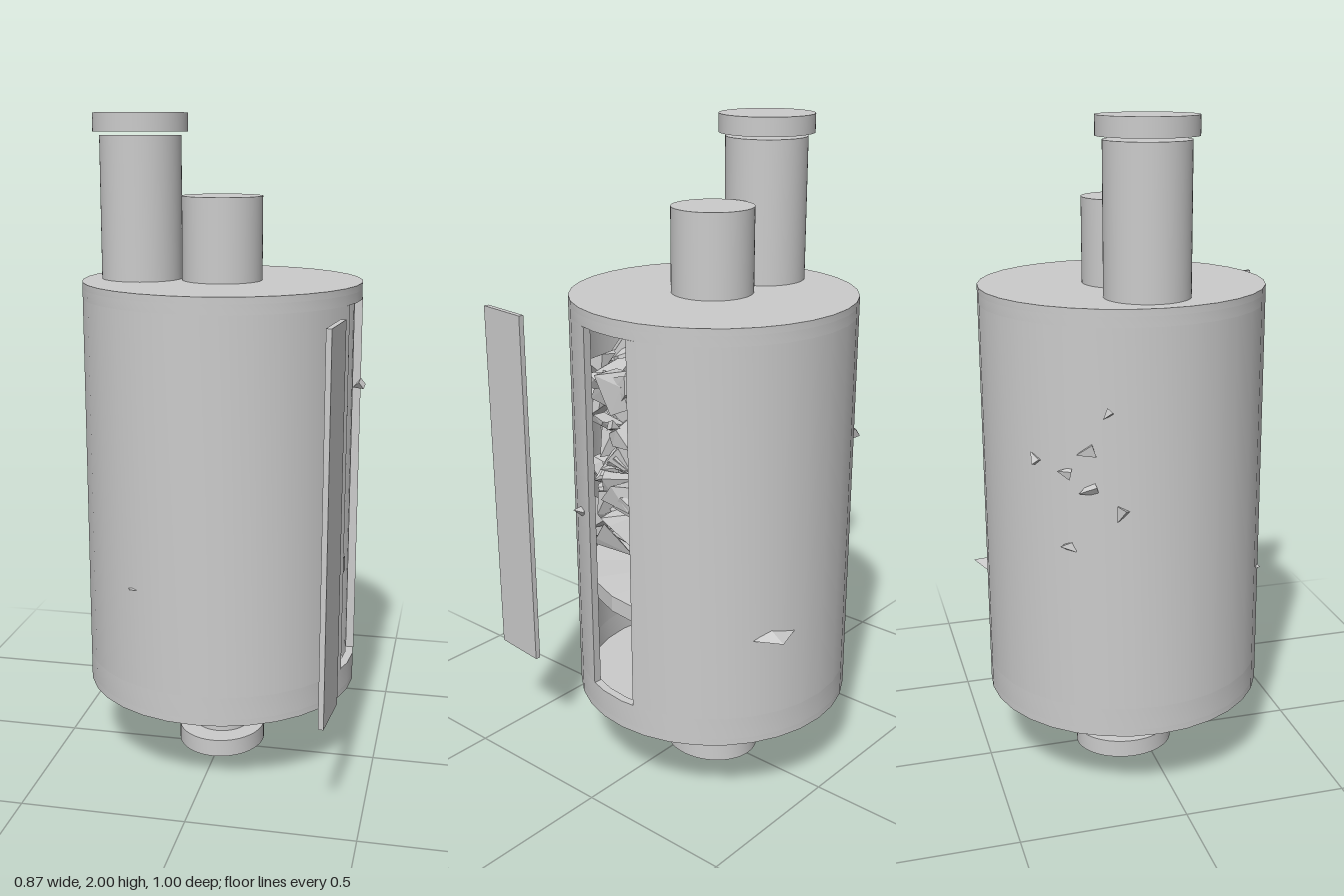
import * as THREE from 'three';
import { mergeGeometries, toCreasedNormals } from 'three/addons/utils/BufferGeometryUtils.js';
import { ConvexGeometry } from 'three/addons/geometries/ConvexGeometry.js';

const R = 0.425, INNER = 0.4, SIDES = 32;
const SLOT = { z0: -0.045, z1: 0.135, y0: 0.33, y1: 1.46 };

export function createModel() {
  const model = new THREE.Group();
  // everything but the loose panel shares the vessel's axis
  const vessel = new THREE.Group();
  vessel.name = 'vessel';
  vessel.position.set(-0.005, 0, -0.06);
  model.add(vessel);

  const smooth = new THREE.MeshStandardMaterial({ color: 0xcccccc });
  const flat = new THREE.MeshStandardMaterial({ color: 0xcccccc, flatShading: true });

  let seed = 7;
  const rand = () => {
    seed = (seed * 16807) % 2147483647;
    return seed / 2147483647;
  };

  const add = (name, geometry, parent = vessel, material = smooth) => {
    const mesh = new THREE.Mesh(geometry, material);
    mesh.name = name;
    parent.add(mesh);
    return mesh;
  };

  const drum = (name, r, y0, y1, x = 0, z = 0, sides = 64) => {
    const mesh = add(name, new THREE.CylinderGeometry(r, r, y1 - y0, sides));
    mesh.position.set(x, (y0 + y1) / 2, z);
    return mesh;
  };

  // extrudes a plan outline (x, -z) upwards from y0 to y1
  const raise = (shape, y0, y1) => {
    const g = new THREE.ExtrudeGeometry(shape, { depth: y1 - y0, bevelEnabled: false });
    g.rotateX(-Math.PI / 2).translate(0, y0, 0);
    return toCreasedNormals(g, 0.5);
  };

  const circle = (r) => Array.from({ length: SIDES }, (_, i) => {
    const a = (i / SIDES) * Math.PI * 2;
    return new THREE.Vector2(r * Math.cos(a), r * Math.sin(a));
  });

  // arc of the wall that leaves the slot open on the +x side
  const openArc = (r) => {
    const edge = (z) => new THREE.Vector2(Math.sqrt(r * r - z * z), -z);
    const between = circle(r).filter((p) => p.x < 0 || p.y > -SLOT.z0 + 0.005 || p.y < -SLOT.z1 - 0.005);
    return [edge(SLOT.z0), ...between, edge(SLOT.z1)];
  };

  // wall: closed ring below and above, open ring around the slot
  const ring = new THREE.Shape(circle(R));
  ring.holes.push(new THREE.Path(circle(INNER)));
  const slotted = new THREE.Shape([...openArc(R), ...openArc(INNER).reverse()]);
  add('lowerWall', raise(ring, 0.26, SLOT.y0));
  add('slottedWall', raise(slotted, SLOT.y0, SLOT.y1));
  add('upperWall', raise(ring, SLOT.y1, 1.49));
  const disc = new THREE.Shape(circle(R));
  add('floor', raise(disc, 0.24, 0.26));
  add('lid', raise(disc, 1.49, 1.51));

  // pipes on the lid
  drum('shortPipe', 0.122, 1.51, 1.76, 0, 0.005);
  drum('tallPipe', 0.123, 1.51, 1.935, -0.25, 0.007);
  drum('tallPipeCap', 0.143, 1.945, 2, -0.25, 0.007);

  // oval bottom plate and hollow outlet
  drum('bottomPlate', 0.355, 0.22, 0.24).scale.z = 0.875;
  const lathe = (points) => toCreasedNormals(
    new THREE.LatheGeometry(points.map(([r, y]) => new THREE.Vector2(r, y)), 48), 0.5);
  add('outletPipe', lathe([[0.07, 0.05], [0.085, 0.05], [0.085, 0.22], [0.07, 0.22], [0.07, 0.05]]));
  add('outletFlange', lathe([[0.07, 0], [0.138, 0], [0.138, 0.055], [0.07, 0.055], [0.07, 0]]))
    .scale.z = 1.12;

  // bed of broken stones, kept inside the wall
  const stones = [];
  for (let i = 0; i < 420; i++) {
    const a = rand() * Math.PI * 2, d = 0.36 * Math.sqrt(rand());
    const c = new THREE.Vector3(d * Math.cos(a), 0.77 + rand() * 0.56, d * Math.sin(a));
    const size = 0.06 + rand() * 0.04;
    const points = Array.from({ length: 8 }, () => {
      const p = new THREE.Vector3(rand() - 0.5, rand() - 0.5, rand() - 0.5)
        .setLength(size * (0.8 + 0.3 * rand())).add(c);
      const r = Math.hypot(p.x, p.z), limit = 0.38 + 0.01 * rand();
      if (r > limit) { p.x *= limit / r; p.z *= limit / r; }
      p.y = THREE.MathUtils.clamp(p.y, 0.745 + 0.015 * rand(), 1.355 - 0.015 * rand());
      return p;
    });
    stones.push(new ConvexGeometry(points));
  }
  add('stoneBed', mergeGeometries(stones), vessel, flat);

  // crumpled layer below the stones
  const layer = new THREE.CylinderGeometry(0.392, 0.392, 0.05, 18, 2);
  const pos = layer.attributes.position;
  for (let i = 0; i < pos.count; i++) {
    const x = pos.getX(i), z = pos.getZ(i);
    pos.setY(i, pos.getY(i) + 0.014 * Math.sin(23 * x + 9 * z) * Math.cos(19 * z - 5 * x));
  }
  add('crumpledLayer', layer, vessel, flat).position.y = 0.62;

  // splinters that break through the wall: x, y, z, size
  const splinters = [
    [-0.41, 0.93, -0.115, 0.022], [-0.372, 1.0, -0.2, 0.026], [-0.368, 1.11, -0.205, 0.026],
    [-0.345, 0.83, -0.255, 0.022], [-0.345, 1.05, -0.26, 0.02], [-0.275, 1.08, -0.33, 0.018],
    [-0.4, 1.22, -0.15, 0.015], [0.375, 0.88, 0.2, 0.026], [0.418, 1.2, 0.005, 0.018],
  ];
  splinters.forEach(([x, y, z, s]) => {
    const m = add('splinter', new THREE.ConeGeometry(s, s * 2, 4), vessel, flat);
    m.position.set(x, y, z);
    m.rotation.set(0.9 + 8 * x, 5 * y, 1 + 6 * z);
  });
  const shard = (corners) => add('shard',
    new ConvexGeometry(corners.map((p) => new THREE.Vector3(...p))), vessel, flat);
  shard([[0.105, 0.585, -0.405], [0.21, 0.59, -0.44], [0.24, 0.582, -0.355],
    [0.185, 0.605, -0.375], [0.14, 0.59, -0.32]]);
  shard([[-0.215, 0.635, 0.35], [-0.2, 0.635, 0.387], [-0.165, 0.635, 0.385], [-0.18, 0.645, 0.35]]);

  // loose slot cover standing clear of the vessel
  const cover = add('slotCover', new THREE.BoxGeometry(0.016, 1.125, 0.175), model);
  cover.position.set(0.399, 0.892, 0.408);
  cover.rotation.y = -0.1;

  return model;
}
